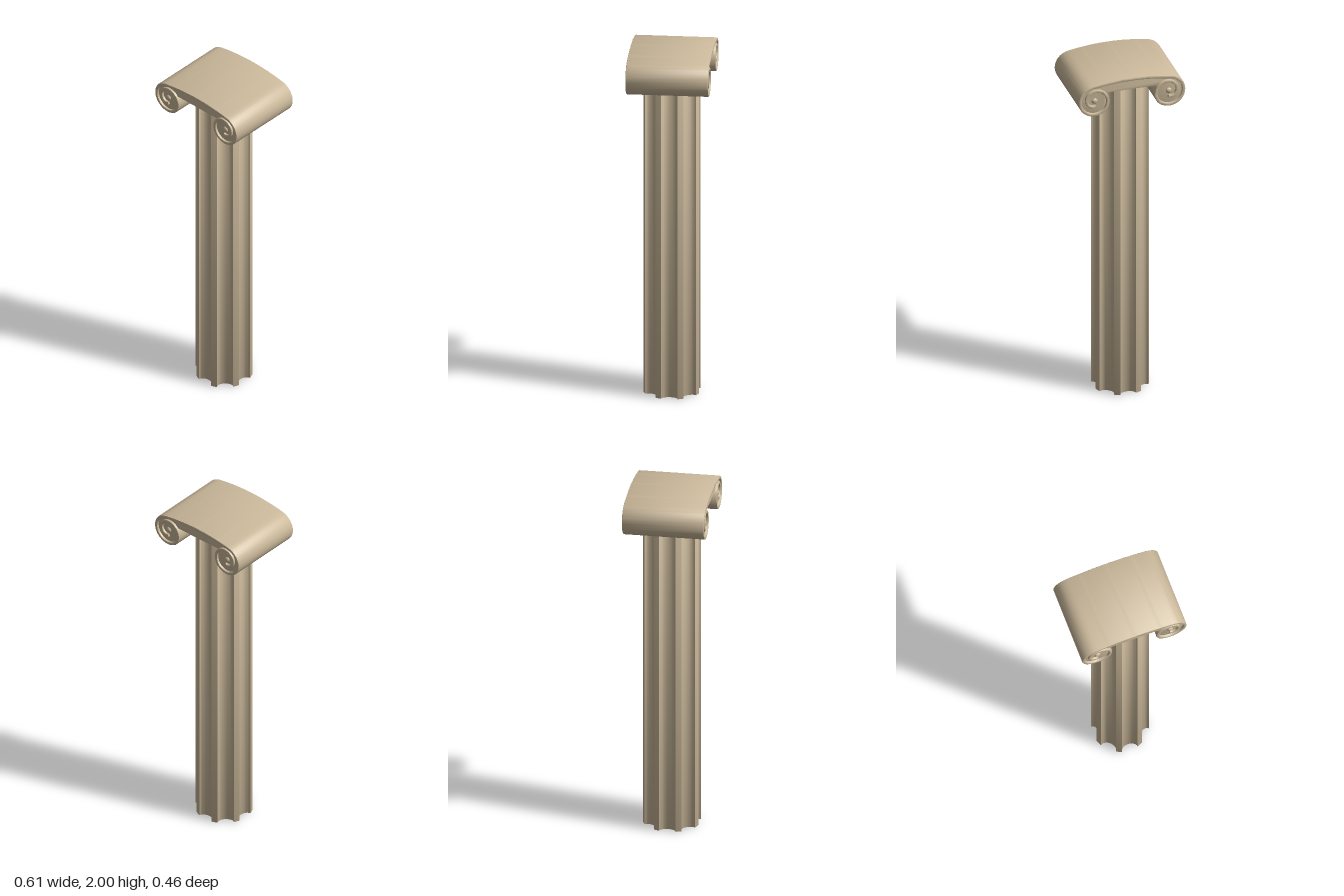
import * as THREE from 'three';
import { toCreasedNormals } from 'three/addons/utils/BufferGeometryUtils.js';

// Extrude a list of points to a total depth centred on z = 0, with rounded edges
function slab(points, depth, bevel, crease = 0.6) {
  const geo = new THREE.ExtrudeGeometry(new THREE.Shape(points), {
    depth: depth - 2 * bevel, bevelEnabled: true, bevelThickness: bevel,
    bevelSize: bevel, bevelOffset: -bevel, bevelSegments: 2,
  });
  geo.translate(0, 0, -depth / 2 + bevel);
  return toCreasedNormals(geo, crease);
}

const EYE = new THREE.Vector2(0.213, 1.885);
const START = THREE.MathUtils.degToRad(80);

// Point on the right scroll spiral: t in turns, inset towards the eye
function spiral(t, inset) {
  const r = (t < 0.6 ? 0.095 - 0.008 * t : 0.09 - 0.055 * (t - 0.6)) - inset;
  const a = START - t * Math.PI * 2;
  return new THREE.Vector2(EYE.x + r * Math.cos(a), EYE.y + r * Math.sin(a));
}

// Right half of the scroll line, from the top middle to the given number of turns
function halfScroll(turns, inset) {
  const pts = [];
  const first = spiral(0, inset);
  for (let i = 0; i < 12; i++) {
    const u = i / 12;
    const y = THREE.MathUtils.lerp(2 - inset, first.y, u * u);
    pts.push(new THREE.Vector2(first.x * u, y));
  }
  const n = Math.ceil(turns * 36);
  for (let i = 0; i <= n; i++) pts.push(spiral((i / n) * turns, inset));
  return pts;
}

// Mirror the half line into a full line running left to right
function fullScroll(turns, inset) {
  const right = halfScroll(turns, inset);
  const left = right.slice(1).reverse().map((p) => new THREE.Vector2(-p.x, p.y));
  return [...left, ...right];
}

// Eight-fluted outline of the shaft
function flutedOutline() {
  const pts = [];
  for (let k = 0; k < 8; k++) {
    const a = (k * Math.PI) / 4;
    for (let i = 0; i <= 12; i++) {
      const s = (i / 12) * Math.PI;
      const radial = 0.154 - 0.032 * Math.sin(s);
      const side = -0.045 * Math.cos(s);
      pts.push(new THREE.Vector2(
        radial * Math.cos(a) - side * Math.sin(a),
        radial * Math.sin(a) + side * Math.cos(a)));
    }
  }
  return pts;
}

export function createModel() {
  const model = new THREE.Group();
  model.name = 'column';
  const stone = new THREE.MeshStandardMaterial({ color: 0xcbb99b });
  stone.name = 'sandstone';

  const add = (name, geo, parent) => {
    const mesh = new THREE.Mesh(geo, stone);
    mesh.name = name;
    parent.add(mesh);
    return mesh;
  };

  // Shaft
  const shaftGeo = slab(flutedOutline(), 1.93, 0.004);
  shaftGeo.rotateX(-Math.PI / 2);
  shaftGeo.translate(0, 0.965, 0);
  add('flutedShaft', shaftGeo, model);

  // Capital: recessed body
  const capital = new THREE.Group();
  capital.name = 'capital';
  model.add(capital);
  const body = fullScroll(0.78, 0.008);
  body.push(new THREE.Vector2(0.146, 1.925), new THREE.Vector2(-0.146, 1.925));
  add('capitalBody', slab(body, 0.43, 0.002), capital);

  // Raised band that runs over the top and curls into both scrolls
  const band = [...fullScroll(1.5, 0), ...fullScroll(1.5, 0.018).reverse()];
  add('scrollBand', slab(band, 0.456, 0.005), capital);

  // Eyes at the middle of each scroll, front and back
  for (const side of [-1, 1]) {
    for (const end of [-1, 1]) {
      const eye = add('scrollEye', new THREE.SphereGeometry(0.017, 20, 12), capital);
      eye.scale.z = 0.7;
      eye.position.set(side * EYE.x, EYE.y, end * 0.213);
    }
  }
  return model;
}
